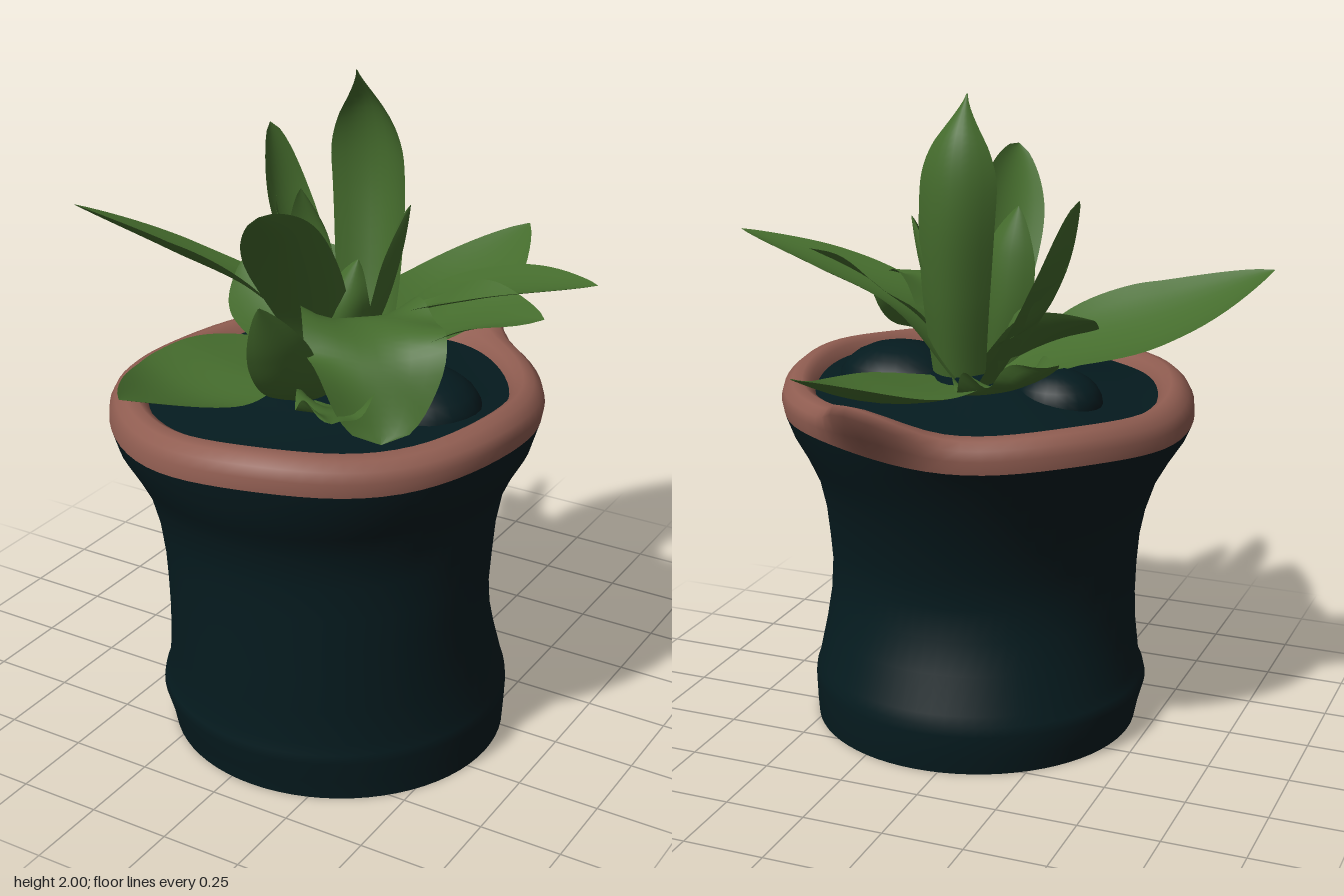
import * as THREE from 'three';

const mat = (name, color, side = THREE.FrontSide) => {
  const m = new THREE.MeshStandardMaterial({ color, side });
  m.name = name;
  return m;
};

// Smooth surface from a grid of points; closed wraps each row around
function grid(rows, closed) {
  const n = rows[0].length, pos = [], idx = [];
  rows.forEach(r => r.forEach(p => pos.push(p.x, p.y, p.z)));
  for (let i = 0; i < rows.length - 1; i++) {
    for (let j = 0; j < (closed ? n : n - 1); j++) {
      const k = (j + 1) % n;
      const a = i * n + j, b = i * n + k, c = a + n, d = b + n;
      idx.push(a, c, b, b, c, d);
    }
  }
  const g = new THREE.BufferGeometry();
  g.setAttribute('position', new THREE.Float32BufferAttribute(pos, 3));
  g.setIndex(idx);
  g.computeVertexNormals();
  return g;
}

// Ring: [y, xMin, xMax, zMin, zMax, tilt, spout]; the spout pulls the back of the rim outward and up
const SPOUT = -1.4;
function ring([y, x0, x1, z0, z1, tilt = 0, spout = 0]) {
  const out = [], N = 72;
  for (let j = 0; j < N; j++) {
    const a = (j / N) * Math.PI * 2;
    const c = Math.cos(a), s = Math.sin(a);
    let d = Math.abs(a - SPOUT - Math.PI * 2);
    d = Math.min(d, Math.PI * 2 - d);
    const pull = spout * Math.exp(-((d / 0.21) ** 2));
    const wave = tilt * 0.008 * Math.sin(5 * a + 1);
    out.push(new THREE.Vector3(
      (x0 + x1) / 2 + c * ((x1 - x0) / 2 + pull),
      y + tilt * (0.018 * c + 0.012 * s) + wave + pull * 0.7,
      (z0 + z1) / 2 + s * ((z1 - z0) / 2 + pull)));
  }
  return out;
}

// Leaf: spine points, half width, direction of its side edge, cupping, edge ripple, base width and tip sharpness
function leafGeometry({ pts, w, side, cup = 0.25, ripple = 0, base = 0.4, tip = 0.85 }) {
  const curve = new THREE.CatmullRomCurve3(pts.map(p => new THREE.Vector3(...p)));
  const rows = [], N = 28, M = 8;
  for (let i = 0; i <= N; i++) {
    const t = i / N;
    const p = curve.getPoint(t), tan = curve.getTangent(t);
    const s = new THREE.Vector3(...side);
    s.addScaledVector(tan, -s.dot(tan)).normalize();
    const n = new THREE.Vector3().crossVectors(s, tan);
    const grow = base + (1 - base) * Math.sin(Math.min(t / 0.55, 1) * Math.PI / 2);
    const taper = t < 0.55 ? 1 : Math.pow(Math.max(0, Math.cos(((t - 0.55) / 0.45) * Math.PI / 2)), tip);
    const width = w * grow * taper + 0.002;
    const row = [];
    for (let j = 0; j <= M; j++) {
      const u = (j / M) * 2 - 1;
      const lift = width * cup * (u * u * 1.4 - 0.4) + ripple * u * u * Math.sin(t * 15 + u * 2) * taper;
      row.push(p.clone().addScaledVector(s, u * width).addScaledVector(n, lift));
    }
    rows.push(row);
  }
  return grid(rows, false);
}

export function createModel() {
  const group = new THREE.Group();
  const navy = mat('dark teal glaze', 0x051b1f);
  const clay = mat('clay rim', 0x905d51);
  const green = mat('leaf green', 0x456c2d, THREE.DoubleSide);
  const baseGreen = mat('base green', 0x456c2d);
  const add = (name, geo, m) => {
    const mesh = new THREE.Mesh(geo, m);
    mesh.name = name;
    group.add(mesh);
    return mesh;
  };

  // Pot body with a foot band and a flared top
  add('potBody', grid([
    [0, -0.44, 0.585, -0.35, 0.66],
    [0.06, -0.452, 0.588, -0.36, 0.67],
    [0.13, -0.47, 0.593, -0.365, 0.688],
    [0.16, -0.462, 0.59, -0.362, 0.688],
    [0.19, -0.447, 0.58, -0.352, 0.678],
    [0.3, -0.428, 0.565, -0.312, 0.68],
    [0.4, -0.42, 0.556, -0.28, 0.68],
    [0.5, -0.422, 0.553, -0.27, 0.68],
    [0.6, -0.432, 0.555, -0.29, 0.682],
    [0.7, -0.455, 0.556, -0.322, 0.685],
    [0.8, -0.49, 0.57, -0.362, 0.703],
    [0.88, -0.535, 0.605, -0.402, 0.74],
    [0.95, -0.58, 0.645, -0.44, 0.778],
    [1.02, -0.602, 0.668, -0.472, 0.8, 1],
  ].map(ring), true), navy);

  // Underside
  add('potBase', grid([[0, 0.07, 0.07, 0.155, 0.155], [0, -0.44, 0.585, -0.35, 0.66]].map(ring), true), baseGreen);

  // Rolled rim, drawn out into a spout at the back
  add('rim', grid([
    [1.02, -0.602, 0.668, -0.472, 0.8, 1],
    [1.06, -0.6, 0.674, -0.48, 0.8, 1, 0.05],
    [1.09, -0.585, 0.664, -0.475, 0.787, 1, 0.13],
    [1.112, -0.56, 0.637, -0.455, 0.762, 1, 0.14],
    [1.12, -0.53, 0.605, -0.425, 0.73, 1, 0.08],
    [1.105, -0.505, 0.58, -0.4, 0.705, 1, 0.03],
    [1.075, -0.49, 0.565, -0.385, 0.69, 1],
  ].map(ring), true), clay);

  // Low mound filling the pot
  add('soil', grid([
    [1.075, -0.49, 0.565, -0.385, 0.69, 1],
    [1.085, -0.38, 0.46, -0.28, 0.58, 0.5],
    [1.12, -0.2, 0.3, -0.1, 0.42],
    [1.15, -0.06, 0.16, 0.04, 0.26],
    [1.155, 0.05, 0.05, 0.15, 0.15],
  ].map(ring), true), navy);

  // Soil banked against the leaf bases: centre x, z and radii
  for (const [x, z, rx, ry, rz] of [[-0.22, 0.08, 0.14, 0.1, 0.12], [0.32, 0.14, 0.2, 0.12, 0.18]]) {
    const bank = add('soilBank', new THREE.SphereGeometry(1, 24, 12), navy);
    bank.position.set(x, 1.08, z);
    bank.scale.set(rx, ry, rz);
  }

  const leaves = {
    // Broad outer leaves
    leftLeaf: { pts: [[-0.02, 1.13, 0.04], [-0.28, 1.28, 0.02], [-0.56, 1.375, 0.06], [-0.84, 1.51, 0.2]], w: 0.18, side: [0, -0.42, -0.9], cup: 0.15 },
    backLeaf: { pts: [[0.08, 1.13, 0.0], [0.1, 1.16, -0.2], [0.14, 1.2, -0.48], [0.21, 1.335, -0.82]], w: 0.21, side: [1, 0, 0.15], cup: 0.12 },
    frontLeftLeaf: { pts: [[-0.08, 1.14, 0.12], [-0.17, 1.16, 0.3], [-0.21, 1.15, 0.52], [-0.23, 1.23, 0.81]], w: 0.2, side: [-1, 0.1, -0.1], cup: 0.12, base: 0.55 },
    rightLeafUpper: { pts: [[0.08, 1.14, 0.06], [0.26, 1.34, 0.06], [0.52, 1.45, 0.05], [0.84, 1.53, 0.08]], w: 0.15, side: [0, -0.05, 1], cup: 0.15, base: 0.75 },
    rightLeafLower: { pts: [[0.1, 1.13, 0.14], [0.27, 1.3, 0.17], [0.5, 1.41, 0.19], [0.76, 1.47, 0.24]], w: 0.15, side: [0, -0.25, 1], cup: 0.15, base: 0.75, ripple: 0.012 },

    // Ruffled leaves drooping over the front right
    droopingLeaf: { pts: [[0.1, 1.24, 0.16], [0.24, 1.4, 0.3], [0.36, 1.34, 0.43], [0.43, 1.14, 0.53]], w: 0.19, side: [-0.75, 0, 0.65], cup: 0.1, ripple: 0.03, base: 0.6, tip: 0.45 },
    ruffledLeafLow: { pts: [[0.12, 1.1, 0.28], [0.22, 1.17, 0.42], [0.3, 1.22, 0.55], [0.36, 1.24, 0.67]], w: 0.11, side: [-1, 0, 0.5], cup: 0.2, ripple: 0.03 },
    frontShortLeaf: { pts: [[0.1, 1.12, 0.32], [0.13, 1.22, 0.5], [0.15, 1.36, 0.6], [0.15, 1.53, 0.69]], w: 0.09, side: [-0.75, -0.3, 0.4], cup: 0.2 },
    frontTallLeaf: { pts: [[0.05, 1.14, 0.15], [0.06, 1.38, 0.28], [0.08, 1.6, 0.46], [0.12, 1.76, 0.64]], w: 0.115, side: [-0.7, -0.4, 0.5], cup: 0.2, base: 0.55, tip: 0.6 },

    // Upright centre leaves
    tallLeaf: { pts: [[0.09, 1.13, 0.02], [0.075, 1.4, -0.05], [0.055, 1.68, -0.09], [0.045, 1.87, -0.07], [0.04, 2.0, 0.0]], w: 0.12, side: [1, 0, 0], cup: 0.4, base: 0.7, tip: 1.4 },
    innerLeaf: { pts: [[-0.02, 1.13, 0.1], [-0.04, 1.35, 0.07], [-0.05, 1.52, 0.08], [-0.08, 1.66, 0.11]], w: 0.09, side: [1, 0, 0.2], cup: 0.35, base: 0.7 },
    innerRightLeaf: { pts: [[0.08, 1.13, 0.08], [0.14, 1.32, 0.02], [0.18, 1.48, 0.0], [0.22, 1.63, 0.0]], w: 0.08, side: [0.4, 0, 1], cup: 0.4 },
    budLeaf: { pts: [[0.06, 1.12, 0.16], [0.08, 1.24, 0.2], [0.11, 1.36, 0.2], [0.14, 1.5, 0.16]], w: 0.08, side: [-1, 0, 0.3], cup: 0.5, ripple: 0.01 },

    // Back left leaves
    leftTallLeaf: { pts: [[-0.03, 1.14, -0.02], [-0.2, 1.35, -0.11], [-0.3, 1.53, -0.15], [-0.37, 1.745, -0.18]], w: 0.095, side: [0.15, 0, -1], cup: 0.2, tip: 0.6 },
    leftShoulderLeaf: { pts: [[-0.03, 1.13, 0.03], [-0.14, 1.3, -0.03], [-0.24, 1.42, -0.09], [-0.32, 1.54, -0.13]], w: 0.12, side: [-0.3, 0, -1], cup: 0.3, ripple: 0.015 },
    curledBackLeaf: { pts: [[0.0, 1.13, -0.05], [-0.12, 1.18, -0.2], [-0.25, 1.24, -0.29], [-0.38, 1.32, -0.37]], w: 0.1, side: [0.6, 0, -1], cup: 0.35, ripple: 0.03, base: 0.6 },
    leftLowLeaf: { pts: [[0.0, 1.13, 0.12], [-0.13, 1.23, 0.1], [-0.24, 1.3, 0.06], [-0.36, 1.36, 0.0]], w: 0.13, side: [0, 0.75, -1], cup: 0.15, base: 0.6 },
  };
  for (const [name, spec] of Object.entries(leaves)) add(name, leafGeometry(spec), green);

  return group;
}
